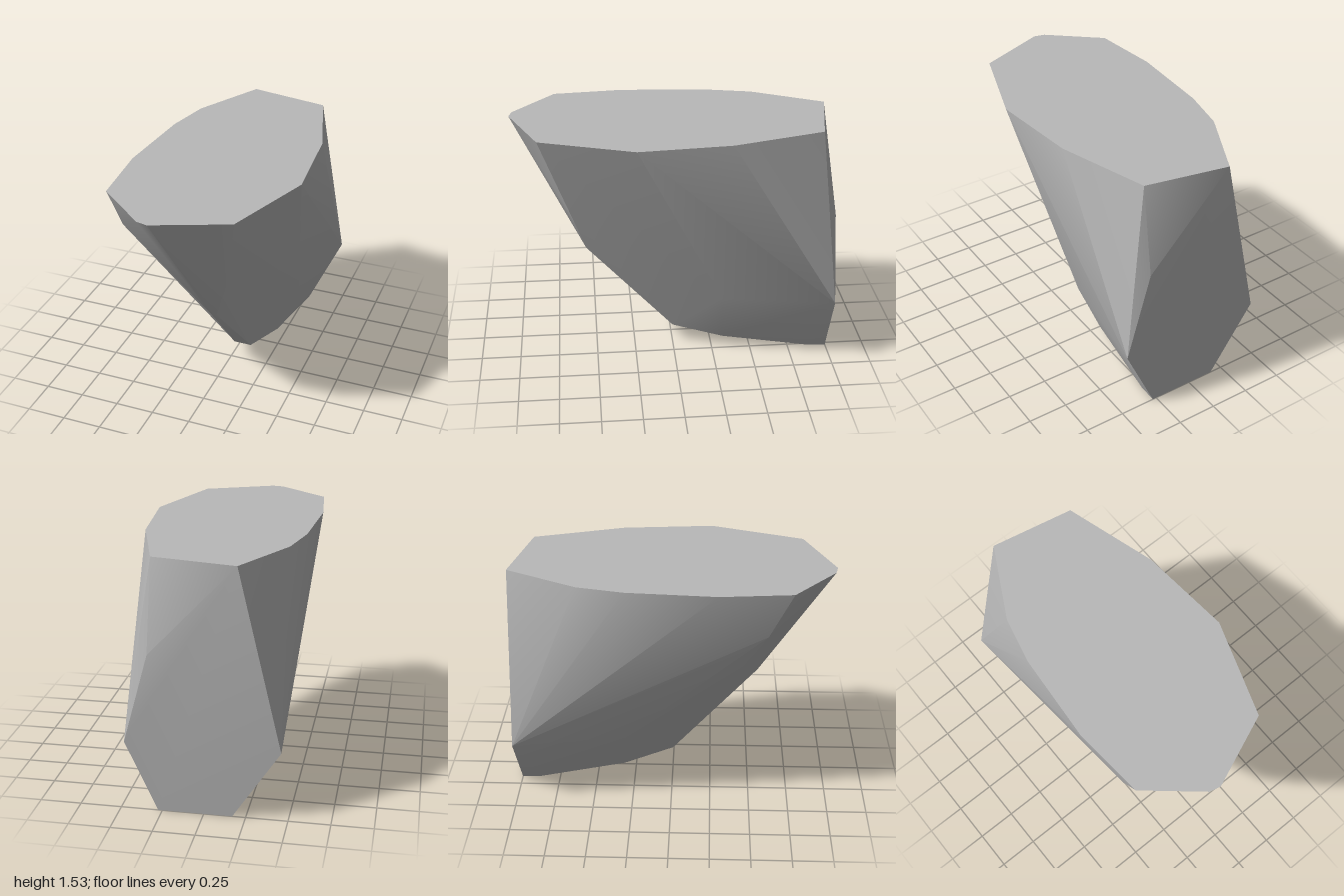
import * as THREE from 'three';
import { ConvexGeometry } from 'three/addons/geometries/ConvexGeometry.js';
import { toCreasedNormals } from 'three/addons/utils/BufferGeometryUtils.js';

const TOP = 1.53;

export function createModel() {
  const group = new THREE.Group();
  group.name = 'rock';
  const stone = new THREE.MeshStandardMaterial({ color: 0xb8b8b8 });
  stone.name = 'stone grey';

  // flat top outline (x, z)
  const top = [
    [-0.2, -1], [0.31, -0.9], [0.48, -0.33], [0.53, 0.24], [0.33, 0.82], [-0.11, 1],
    [-0.18, 0.985], [-0.495, 0.72], [-0.535, 0.28], [-0.495, -0.27], [-0.43, -0.56],
  ].map(([x, z]) => [x, TOP, z]);

  // upright back face
  const back = [[0.32, 0.98, -1], [0.47, 0.43, -1], [0.275, 0, -1], [-0.17, 0, -1], [-0.455, 0.43, -1]];

  // sloping underside
  const underside = [
    [-0.17, 0.005, -0.88], [-0.09, 0.07, -0.32], [0.025, 0.125, 0],
    [0.14, 0.125, 0], [0.22, 0.07, -0.32], [0.275, 0.005, -0.88],
  ];

  // leaning front ridge and the bulges of both flanks
  const front = [[0.08, 0.71, 0.55], [0.115, 0.71, 0.55], [0.215, 1, 0.64]];
  const flanks = [[-0.47, 1.24, 0.58], [-0.35, 0.44, -0.3], [0.37, 0.44, -0.3]];

  const points = [...top, ...back, ...underside, ...front, ...flanks].map((p) => new THREE.Vector3(...p));
  const geometry = toCreasedNormals(new ConvexGeometry(points), 0.52);
  const body = new THREE.Mesh(geometry, stone);
  body.name = 'rockBody';
  group.add(body);
  return group;
}
